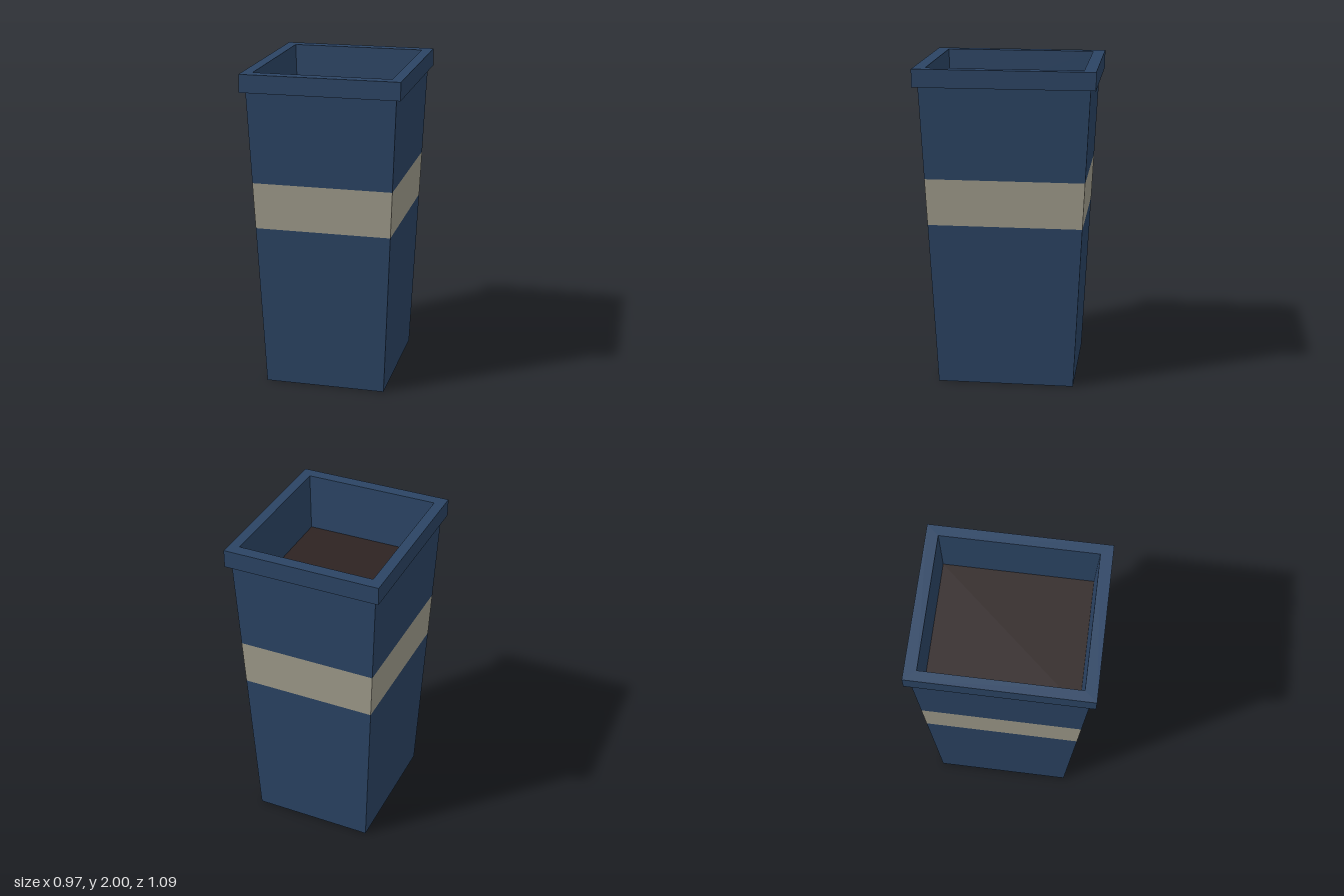
import * as THREE from 'three';

// Half-width and half-depth of the tapered body at height y
const bodyRing = (y) => [0.378 + 0.0407 * y, 0.425 + 0.0476 * y, y];

// Rectangular rings [halfX, halfZ, y] joined by flat quads; rising rings face outward
function loft(rings) {
  const corners = [[1, 1], [1, -1], [-1, -1], [-1, 1]];
  const point = ([hx, hz, y], i) => [corners[i % 4][0] * hx, y, corners[i % 4][1] * hz];
  const positions = [];
  for (let r = 0; r < rings.length - 1; r++) {
    for (let i = 0; i < 4; i++) {
      const a = point(rings[r], i), b = point(rings[r], i + 1);
      const c = point(rings[r + 1], i + 1), d = point(rings[r + 1], i);
      positions.push(...a, ...b, ...c, ...a, ...c, ...d);
    }
  }
  const geometry = new THREE.BufferGeometry();
  geometry.setAttribute('position', new THREE.Float32BufferAttribute(positions, 3));
  geometry.computeVertexNormals();
  return geometry;
}

export function createModel() {
  const group = new THREE.Group();
  const material = (name, color) => {
    const m = new THREE.MeshStandardMaterial({ color });
    m.name = name;
    return m;
  };
  const blue = material('planter blue', 0x2b4464);
  const beige = material('band beige', 0xa09c8c);
  const brown = material('soil brown', 0x2d2322);

  const add = (name, geometry, mat) => {
    const mesh = new THREE.Mesh(geometry, mat);
    mesh.name = name;
    group.add(mesh);
    return mesh;
  };

  const bandBottom = 1.033, bandTop = 1.323, rimBottom = 1.89, soilY = 1.64;

  // Tapered walls with a flush band
  add('lowerBody', loft([bodyRing(0), bodyRing(bandBottom)]), blue);
  add('band', loft([bodyRing(bandBottom), bodyRing(bandTop)]), beige);
  add('upperBody', loft([bodyRing(bandTop), bodyRing(rimBottom)]), blue);

  // Overhanging rim, continuing over the lip and down the inner walls
  add('rimAndInnerWalls', loft([
    bodyRing(rimBottom),
    [0.485, 0.547, rimBottom],
    [0.485, 0.547, 2],
    [0.42, 0.473, 2],
    [0.406, 0.459, soilY],
  ]), blue);

  // Underside and soil
  const [bx, bz] = bodyRing(0);
  add('base', new THREE.PlaneGeometry(bx * 2, bz * 2).rotateX(Math.PI / 2), blue);
  add('soil', new THREE.PlaneGeometry(0.812, 0.918).rotateX(-Math.PI / 2), brown).position.y = soilY;

  return group;
}
